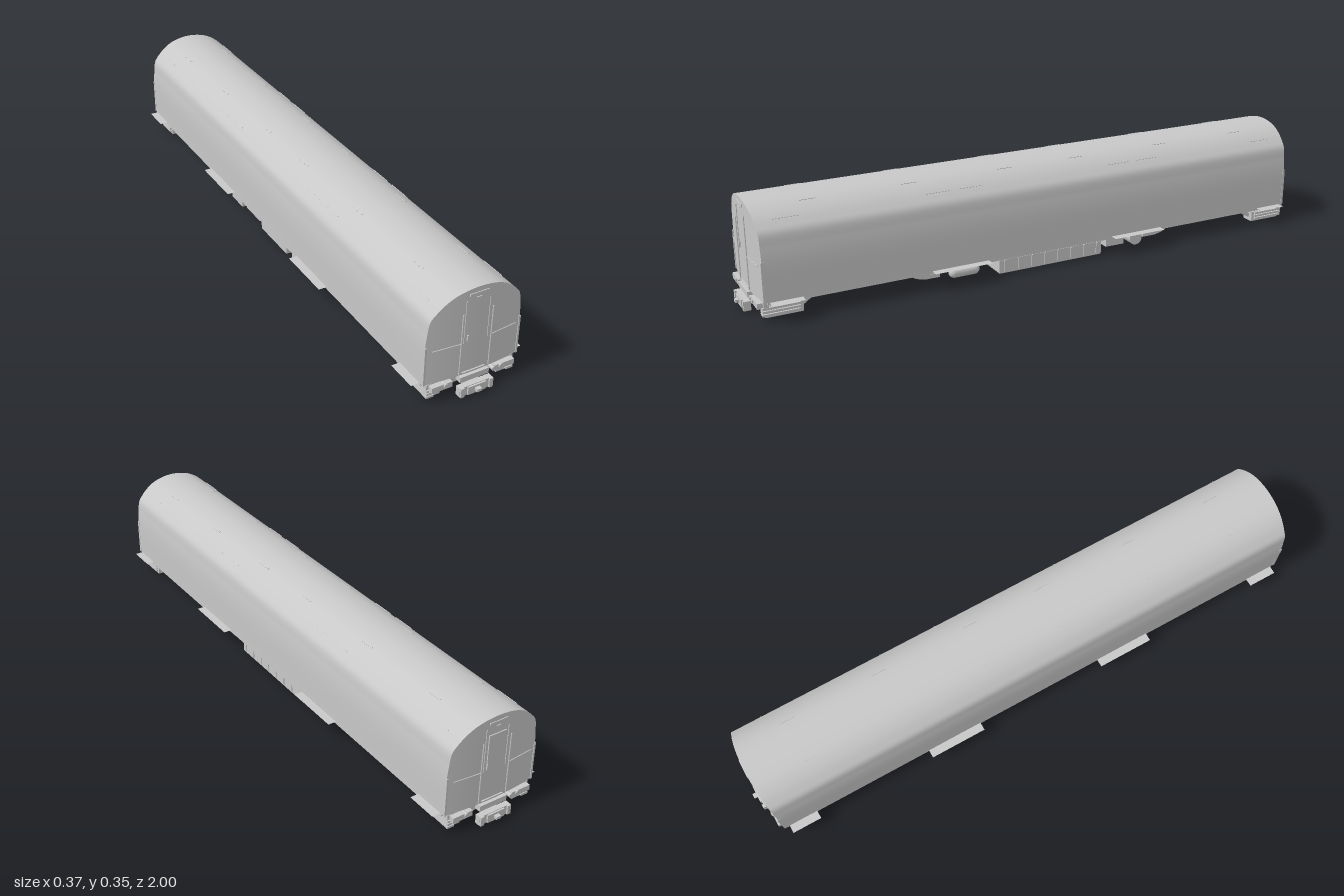
import * as THREE from 'three';
import { ParametricGeometry } from 'three/addons/geometries/ParametricGeometry.js';

const grey = new THREE.MeshStandardMaterial({ color: 0xc8c8c8 });
grey.name = 'plain grey';
const greySheet = new THREE.MeshStandardMaterial({ color: 0xc8c8c8, side: THREE.DoubleSide });
greySheet.name = 'plain grey sheet';

const FLOOR = 0.063, HALF = 0.157;

// Body cross-section, left to right over the roof
const half = [[0.157, 0.063], [0.157, 0.185], [0.153, 0.23], [0.146, 0.272], [0.13, 0.293], [0.106, 0.315], [0.075, 0.333], [0.04, 0.343]];
const profile = new THREE.CatmullRomCurve3([
  ...half.map(([x, y]) => new THREE.Vector3(-x, y, 0)),
  new THREE.Vector3(0, 0.347, 0),
  ...half.map(([x, y]) => new THREE.Vector3(x, y, 0)).reverse(),
], false, 'centripetal');
const SEG = 16;

// Ends bow gently outwards in plan
const endZ = (x) => 0.962 - 0.012 * (x / HALF) ** 2;

function add(parent, name, geometry, x = 0, y = 0, z = 0, material = grey) {
  const mesh = new THREE.Mesh(geometry, material);
  mesh.name = name;
  mesh.position.set(x, y, z);
  parent.add(mesh);
  return mesh;
}

// Box given by its limits on each axis
function box(parent, name, [x0, x1], [y0, y1], [z0, z1]) {
  return add(parent, name, new THREE.BoxGeometry(x1 - x0, y1 - y0, z1 - z0), (x0 + x1) / 2, (y0 + y1) / 2, (z0 + z1) / 2);
}

// Thin strip following the cross-section between two lengthwise positions
function hoop(parent, name, z0, z1, u0, u1, lift) {
  const g = new ParametricGeometry((u, v, t) => {
    const p = profile.getPoint(u0 + (u1 - u0) * u);
    t.set(p.x * (1 + lift / HALF), p.y + lift * 0.6, z1 + (z0 - z1) * v);
  }, 24, 1);
  add(parent, name, g, 0, 0, 0, greySheet);
}

function buildShell(car) {
  const skin = new ParametricGeometry((u, v, t) => {
    const p = profile.getPoint(u);
    t.set(p.x, p.y, endZ(p.x) * (1 - 2 * v));
  }, SEG * 4, 1);
  add(car, 'bodyShell', skin);

  const floor = add(car, 'floor', new THREE.PlaneGeometry(HALF * 2, 1.9), 0, FLOOR + 0.001, 0);
  floor.rotation.x = Math.PI / 2;

  for (const side of [-1, 1]) {
    box(car, 'sideSill', side < 0 ? [-0.157, -0.145] : [0.145, 0.157], [0.055, 0.064], [-0.94, 0.94]);
  }

  for (const s of [-1, 1]) {
    // Door bay seams
    for (const z of [0.225, 0.425, 0.85]) {
      hoop(car, 'bodySeam', s * z - 0.002, s * z + 0.002, 0, 0.3, 0.0012);
      hoop(car, 'bodySeam', s * z - 0.002, s * z + 0.002, 0.7, 1, 0.0012);
    }
    for (const side of [-1, 1]) {
      // Platform step plates
      for (const [z, w] of [[0.325, 0.195], [0.885, 0.1]]) {
        const step = add(car, 'stepPlate', new THREE.PlaneGeometry(0.035, w), side * 0.1675, FLOOR, s * z, greySheet);
        step.rotation.x = -Math.PI / 2;
      }
      // Small rain strips along the roof
      for (const z of [0.13, 0.46, 0.78]) {
        const strip = add(car, 'roofStrip', new THREE.BoxGeometry(0.006, 0.002, 0.05), side * 0.075, 0.3335, s * z);
        strip.rotation.z = -side * 0.42;
      }
      for (const z of [0.27, 0.38, 0.86]) {
        const gutter = add(car, 'doorGutter', new THREE.BoxGeometry(0.003, 0.002, 0.08), side * 0.12, 0.304, s * z);
        gutter.rotation.z = -side * 0.75;
      }
    }
  }
}

// Everything at one end, built facing +z
function buildEnd(name) {
  const end = new THREE.Group();
  end.name = name;
  const wall = new ParametricGeometry((u, v, t) => {
    const p = profile.getPoint((1 + u * (SEG - 2)) / SEG);
    t.set(p.x, FLOOR + (p.y - FLOOR) * v, endZ(p.x));
  }, (SEG - 2) * 4, 1);
  add(end, 'endWall', wall);

  // Gangway door, posts, grab rails and sign box
  for (const s of [-1, 1]) {
    add(end, 'doorPost', new THREE.CylinderGeometry(0.002, 0.002, 0.2, 8), s * 0.049, 0.17, 0.965);
    box(end, 'doorEdge', [s * 0.039 - 0.001, s * 0.039 + 0.001], [0.17, s < 0 ? 0.312 : 0.3], [0.958, 0.9635]);
    const rail = add(end, 'grabRail', new THREE.CylinderGeometry(0.0015, 0.0015, 0.086, 8), s * 0.095, 0.175, 0.961);
    rail.rotation.set(0, s * 0.095, Math.PI / 2);
    box(end, 'cornerPost', [s * 0.155 - 0.003, s * 0.155 + 0.003], [0.063, 0.19], [0.943, 0.953]);
  }
  box(end, 'doorHandle', [-0.03, -0.027], [0.177, 0.196], [0.958, 0.966]);
  box(end, 'doorSill', [-0.037, 0.037], [0.07, 0.0725], [0.955, 0.966]);
  box(end, 'signBox', [-0.031, 0.031], [0.322, 0.331], [0.955, 0.9645]);
  box(end, 'signLip', [-0.008, 0.008], [0.314, 0.3155], [0.955, 0.9645]);

  // End beam with lamps
  box(end, 'endBeam', [-0.145, 0.145], [0.038, 0.06], [0.935, 0.951]);
  box(end, 'beamCentre', [-0.048, 0.048], [0.045, 0.063], [0.93, 0.972]);
  for (const x of [-0.093, 0.066, 0.091]) {
    const lamp = add(end, 'lamp', new THREE.CylinderGeometry(0.007, 0.007, 0.024, 20), x, 0.052, 0.96);
    lamp.rotation.x = Math.PI / 2;
  }

  // Coupler head on its drawbar
  box(end, 'drawbar', [-0.02, 0.02], [0.012, 0.036], [0.88, 0.97]);
  box(end, 'couplerHead', [-0.055, 0.055], [0.006, 0.036], [0.965, 0.983]);
  box(end, 'couplerFace', [-0.03, 0.03], [0.008, 0.034], [0.98, 0.988]);
  box(end, 'couplerPin', [-0.008, 0.008], [0.018, 0.027], [0.985, 1]);

  // Under-end gear: pan, stacked corner steps, hanger arms
  box(end, 'endPan', [-0.1, 0.1], [0.012, 0.026], [0.845, 0.925]);
  box(end, 'crossBeam', [-0.12, 0.12], [0.026, 0.062], [0.87, 0.895]);
  for (const s of [-1, 1]) {
    const span = (a, b) => (s < 0 ? [-b, -a] : [a, b]);
    box(end, 'couplerCheek', span(0.042, 0.054), [0.006, 0.036], [0.98, 0.988]);
    for (let i = 0; i < 3; i++) {
      box(end, 'cornerStep', span(0.122, 0.146), [0.016 + i * 0.01, 0.023 + i * 0.01], [0.84, 0.955]);
    }
    box(end, 'cornerBlock', span(0.095, 0.14), [0.01, 0.044], [0.83, 0.945]);
    box(end, 'beamFoot', span(0.07, 0.138), [0.04, 0.058], [0.945, 0.968]);
    add(end, 'roundPad', new THREE.CylinderGeometry(0.016, 0.016, 0.008, 20), s * 0.105, 0.009, 0.9);
    const arm = add(end, 'hangerArm', new THREE.BoxGeometry(0.02, 0.012, 0.06), s * 0.115, 0.042, 0.81);
    arm.rotation.x = 0.6;
  }
  return end;
}

function buildUnderfloor(car) {
  const gear = new THREE.Group();
  gear.name = 'underfloorGear';
  car.add(gear);

  // Long equipment case with ribs on its outer face
  box(gear, 'mainCase', [0.022, 0.136], [0, 0.045], [-0.2, 0.18]);
  box(gear, 'mainCaseMount', [0.035, 0.12], [0.044, 0.064], [-0.19, 0.17]);
  for (let i = 0; i < 8; i++) {
    box(gear, 'caseRib', [0.134, 0.139], [0.006, 0.044], [-0.185 + i * 0.049, -0.18 + i * 0.049]);
  }

  // Row of smaller cases along the other side
  const cases = [[0.16, 0.31, 0.008, -0.138], [-0.06, 0.12, 0.003, -0.138], [-0.19, -0.09, 0.012, -0.13], [-0.29, -0.21, 0.008, -0.138], [-0.42, -0.32, 0.014, -0.13]];
  for (const [z0, z1, y0, x0] of cases) box(gear, 'sideCase', [x0, -0.058], [y0, 0.064], [z0, z1]);
  box(gear, 'rearCase', [-0.01, 0.075], [0.016, 0.064], [-0.43, -0.25]);
  box(gear, 'rearOuterCase', [0.075, 0.135], [0.02, 0.064], [-0.29, -0.22]);

  // Air tanks
  const front = add(gear, 'airTank', new THREE.CapsuleGeometry(0.018, 0.07, 6, 20), 0.112, 0.026, 0.295);
  front.rotation.x = Math.PI / 2;
  box(gear, 'tankHanger', [0.104, 0.12], [0.035, 0.064], [0.27, 0.32]);
  const rear = add(gear, 'crossTank', new THREE.CylinderGeometry(0.024, 0.024, 0.07, 24), 0.1, 0.031, -0.34);
  rear.rotation.z = Math.PI / 2;
  box(gear, 'tankHanger', [0.075, 0.125], [0.045, 0.064], [-0.35, -0.33]);

  // Curved support brackets dropping from the floor
  const shape = new THREE.Shape();
  shape.moveTo(0, 0.064);
  shape.quadraticCurveTo(0.02, 0.028, 0.075, 0.022);
  shape.lineTo(0.12, 0.022);
  shape.lineTo(0.12, 0.034);
  shape.quadraticCurveTo(0.05, 0.036, 0.03, 0.064);
  const bracket = new THREE.ExtrudeGeometry(shape, { depth: 0.025, bevelEnabled: false, curveSegments: 8 });
  for (const s of [-1, 1]) {
    for (const x of [-0.105, 0.105]) {
      const b = add(gear, 'floorBracket', bracket, x - s * 0.0125, 0, s * 0.5);
      b.rotation.y = s * Math.PI / 2;
    }
  }
}

export function createModel() {
  const car = new THREE.Group();
  car.name = 'railCar';
  buildShell(car);
  car.add(buildEnd('frontEnd'));
  const back = buildEnd('backEnd');
  back.rotation.y = Math.PI;
  car.add(back);
  // Window in the rear gangway door
  box(car, 'rearDoorWindow', [-0.03, 0.03], [0.2, 0.29], [-0.965, -0.958]);
  buildUnderfloor(car);
  return car;
}
